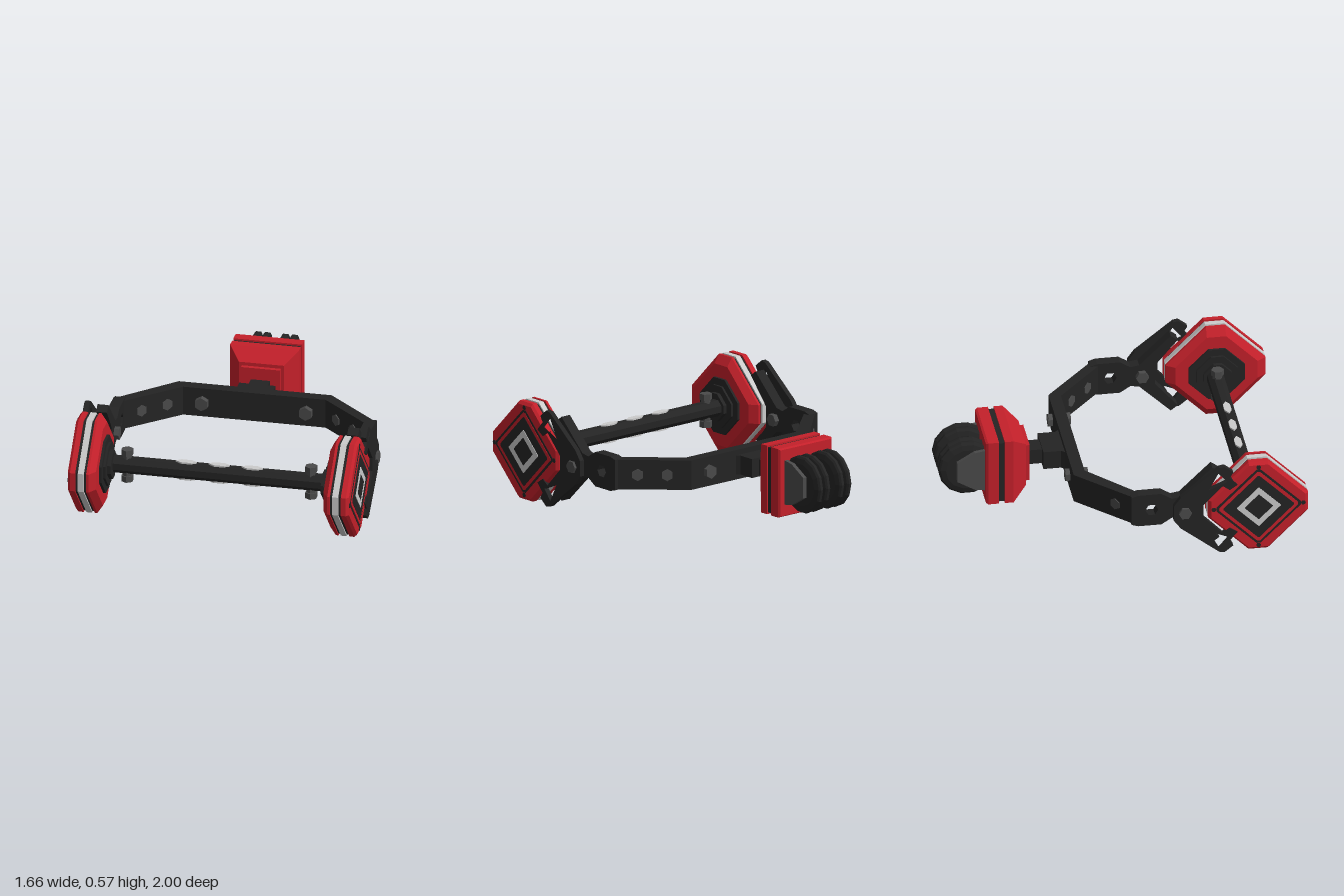
import * as THREE from 'three';

const mat = (color) => new THREE.MeshStandardMaterial({ color, flatShading: true });
const RED = mat(0xc4202a), DARK = mat(0x242424), STEEL = mat(0x4a4a4a), GREY = mat(0xcccccc);

function add(parent, name, geometry, material, x = 0, y = 0, z = 0) {
  const mesh = new THREE.Mesh(geometry, material);
  mesh.name = name;
  mesh.position.set(x, y, z);
  parent.add(mesh);
  return mesh;
}

// Closed flat-shaded solid through matching rings of [x, y, z] points
function loft(rings) {
  const pos = [], n = rings[0].length, last = rings[rings.length - 1];
  const tri = (a, b, c) => pos.push(...a, ...b, ...c);
  for (let r = 0; r < rings.length - 1; r++) {
    for (let i = 0; i < n; i++) {
      const j = (i + 1) % n, lo = rings[r], hi = rings[r + 1];
      tri(lo[i], lo[j], hi[j]);
      tri(lo[i], hi[j], hi[i]);
    }
  }
  for (let i = 1; i < n - 1; i++) {
    tri(rings[0][0], rings[0][i + 1], rings[0][i]);
    tri(last[0], last[i], last[i + 1]);
  }
  const g = new THREE.BufferGeometry();
  g.setAttribute('position', new THREE.Float32BufferAttribute(pos, 3));
  g.computeVertexNormals();
  return g;
}

// Diamond with clipped corners as [z, y] points
const diamond = (R, f) => [[-f, R], [f, R], [R, f], [R, -f], [f, -R], [-f, -R], [-R, -f], [-R, f]];
const diamondRing = (x, R, f = 0.055) => diamond(R, f).map(([z, y]) => [x, y, z]);
const rectRing = (z, hx, hy) => [[-hx, -hy, z], [hx, -hy, z], [hx, hy, z], [-hx, hy, z]];
const diamondSlab = (x0, x1, R, f) => loft([diamondRing(x0, R, f), diamondRing(x1, R, f)]);

const toShape = (pts) => new THREE.Shape(pts.map(([a, b]) => new THREE.Vector2(a, b)));

// Plate drawn in (z, y), spanning x0..x1
function sidePlate(pts, x0, x1, holes = []) {
  const s = toShape(pts);
  s.holes = holes.map(toShape);
  return new THREE.ExtrudeGeometry(s, { depth: x1 - x0, bevelEnabled: false })
    .rotateY(-Math.PI / 2).translate(x1, 0, 0);
}

// Plate drawn in (x, z), centred on y = 0
const flatPlate = (pts, h) => new THREE.ExtrudeGeometry(toShape(pts), { depth: h, bevelEnabled: false })
  .rotateX(Math.PI / 2).translate(0, h / 2, 0);

const hexPoints = (z, y, r) => Array.from({ length: 6 }, (_, i) =>
  [z + r * Math.cos(i * Math.PI / 3), y + r * Math.sin(i * Math.PI / 3)]);

// Cylinder lying along x, y or z
function rod(axis, r, length, sides = 6) {
  const g = new THREE.CylinderGeometry(r, r, length, sides);
  if (axis === 'x') g.rotateZ(Math.PI / 2);
  if (axis === 'z') g.rotateX(Math.PI / 2);
  return g;
}

// Mirror the upper half of an outline below y = 0
const mirrorY = (top) => [...top, ...top.filter(([, y]) => y > 0).reverse().map(([z, y]) => [z, -y])];

function makePad() {
  const pad = new THREE.Group();
  pad.name = 'pad';
  pad.position.z = 0.715;
  add(pad, 'innerShell', loft([diamondRing(0.655, 0.235), diamondRing(0.688, 0.285), diamondRing(0.702, 0.285)]), RED);
  add(pad, 'darkCore', diamondSlab(0.70, 0.768, 0.274), DARK);
  add(pad, 'silverBand', diamondSlab(0.716, 0.75, 0.285), GREY);
  add(pad, 'outerShell', loft([diamondRing(0.766, 0.285), diamondRing(0.795, 0.285), diamondRing(0.81, 0.268)]), RED);
  // Stepped panel on the outer face
  add(pad, 'outerGroove', diamondSlab(0.80, 0.812, 0.24, 0.012), DARK);
  add(pad, 'outerTrim', diamondSlab(0.80, 0.814, 0.225, 0.008), RED);
  add(pad, 'outerPanel', diamondSlab(0.80, 0.816, 0.2, 0.005), DARK);
  add(pad, 'panelFrame', sidePlate(diamond(0.125, 0.002), 0.81, 0.819, [diamond(0.08, 0.002)]), GREY);
  for (const [y, z] of [[0.255, 0], [-0.255, 0], [0, -0.255], [0, 0.255]]) {
    add(pad, 'cornerScrew', rod('x', 0.014, 0.012), DARK, 0.807, y, z);
  }
  // Stepped boss on the inner face
  [[0.64, 0.16], [0.627, 0.12], [0.605, 0.08]].forEach(([x, R]) =>
    add(pad, 'innerBoss', diamondSlab(x, 0.66, R, R * 0.3), DARK));
  return pad;
}

function makeSide() {
  const side = new THREE.Group();
  side.name = 'side';
  side.add(makePad());
  // Arm with a hexagonal hole, ending in a short fork
  const arm = mirrorY([[0, 0.088], [0.04, 0.1], [0.17, 0.1], [0.23, 0.062], [0.28, 0.07],
    [0.46, 0.245], [0.5, 0.215], [0.37, 0.06], [0.37, 0]]);
  add(side, 'arm', sidePlate(arm, 0.692, 0.755, [hexPoints(0.115, 0, 0.037)]), DARK);
  // Outer forked plate with triangular windows
  const fork = mirrorY([[0.23, 0.045], [0.27, 0.1], [0.49, 0.275], [0.52, 0.28], [0.57, 0.24],
    [0.55, 0.205], [0.595, 0.155], [0.55, 0.125], [0.51, 0.155], [0.4, 0.04]]);
  const window = [[0.485, 0.24], [0.535, 0.18], [0.43, 0.135]];
  add(side, 'forkPlate', sidePlate(fork, 0.787, 0.817, [window, window.map(([z, y]) => [z, -y])]), DARK);
  add(side, 'forkBolt', rod('x', 0.028, 0.15), STEEL, 0.745, 0, 0.295);
  add(side, 'forkBoltHead', rod('x', 0.037, 0.03), STEEL, 0.817, 0, 0.295);
  add(side, 'forkBoltNut', rod('x', 0.037, 0.03), STEEL, 0.678, 0, 0.295);
  // Bolts through the slanted and rear parts of the frame
  for (const t of [0.3, 0.7]) {
    const b = add(side, 'frameStud', rod('z', 0.035, 0.075), STEEL,
      THREE.MathUtils.lerp(0.725, 0.415, t), 0, THREE.MathUtils.lerp(0.03, -0.248, t));
    b.rotation.y = -0.74;
  }
  add(side, 'rearBolt', rod('z', 0.025, 0.13), STEEL, 0.3, 0, -0.243);
  add(side, 'rearBoltHead', rod('z', 0.04, 0.025), STEEL, 0.3, 0, -0.293);
  add(side, 'rearBoltNut', rod('z', 0.04, 0.035), STEEL, 0.3, 0, -0.195);
  // Upright bolt through the end of the crossbar
  add(side, 'crossbarBolt', rod('y', 0.027, 0.19), STEEL, 0.53, 0, 0.7);
  for (const y of [-0.08, 0.08]) add(side, 'crossbarBoltHead', rod('y', 0.036, 0.035), STEEL, 0.53, y, 0.7);
  return side;
}

function makeMount() {
  const mount = new THREE.Group();
  mount.name = 'rearMount';
  mount.position.x = -0.024;
  // Neck joining the frame to the block
  add(mount, 'neckBase', flatPlate([[-0.14, -0.26], [-0.105, -0.3], [-0.105, -0.4], [0.105, -0.4],
    [0.105, -0.3], [0.14, -0.26]], 0.11), DARK);
  add(mount, 'neck', new THREE.BoxGeometry(0.11, 0.09, 0.12), DARK, 0, 0, -0.44);
  // Tapered red block with a dark seam
  add(mount, 'collar', loft([rectRing(-0.51, 0.112, 0.115), rectRing(-0.48, 0.112, 0.115)]), RED);
  add(mount, 'frontBlock', loft([rectRing(-0.635, 0.198, 0.2), rectRing(-0.585, 0.198, 0.2), rectRing(-0.505, 0.13, 0.135)]), RED);
  add(mount, 'seam', new THREE.BoxGeometry(0.38, 0.38, 0.06), DARK, 0, 0, -0.65);
  add(mount, 'backBlock', loft([rectRing(-0.742, 0.19, 0.193), rectRing(-0.73, 0.198, 0.2), rectRing(-0.668, 0.198, 0.2)]), RED);
  // Paired rollers on one axle
  const disc = new THREE.LatheGeometry([[0, -0.024], [0.125, -0.024], [0.155, -0.016], [0.166, -0.008],
    [0.166, 0.008], [0.155, 0.016], [0.125, 0.024], [0, 0.024]].map(([r, y]) => new THREE.Vector2(r, y)), 14)
    .rotateZ(Math.PI / 2);
  for (const x of [-0.105, -0.052, 0.052, 0.105]) add(mount, 'roller', disc, DARK, x, 0, -0.835);
  add(mount, 'axle', rod('x', 0.05, 0.3, 8), STEEL, 0, 0, -0.84);
  const cheek = mirrorY([[-0.735, 0.13], [-0.8, 0.12], [-0.9, 0.06]]);
  for (const s of [-1, 1]) {
    add(mount, 'bracket', sidePlate(cheek, s * 0.147 - 0.012, s * 0.147 + 0.012), STEEL);
  }
  return mount;
}

export function createModel() {
  const model = new THREE.Group();
  model.name = 'harness';
  const body = new THREE.Group();
  body.name = 'body';
  body.position.y = 0.288;
  model.add(body);

  // Rear frame: straight back with slanted corners
  add(body, 'rearFrame', flatPlate([[0.755, 0.02], [0.43, -0.28], [-0.45, -0.28], [-0.755, 0.02],
    [-0.692, 0.045], [-0.41, -0.212], [0.41, -0.212], [0.692, 0.045]], 0.172), DARK);

  // Front crossbar with lozenge inlays above and below
  add(body, 'crossbar', rod('x', 0.05, 1.26, 8).rotateX(Math.PI / 8), DARK, 0, 0, 0.7);
  const lozenge = flatPlate([[-0.062, 0], [-0.03, 0.02], [0.03, 0.02], [0.062, 0], [0.03, -0.02], [-0.03, -0.02]], 0.11);
  for (const x of [-0.19, 0, 0.19]) add(body, 'inlay', lozenge, GREY, x, 0, 0.7);

  // Each side is symmetric in height, so a half turn gives the other one
  const left = makeSide(), right = makeSide();
  left.name = 'leftSide';
  right.name = 'rightSide';
  right.rotation.z = Math.PI;
  body.add(left, right, makeMount());
  return model;
}
